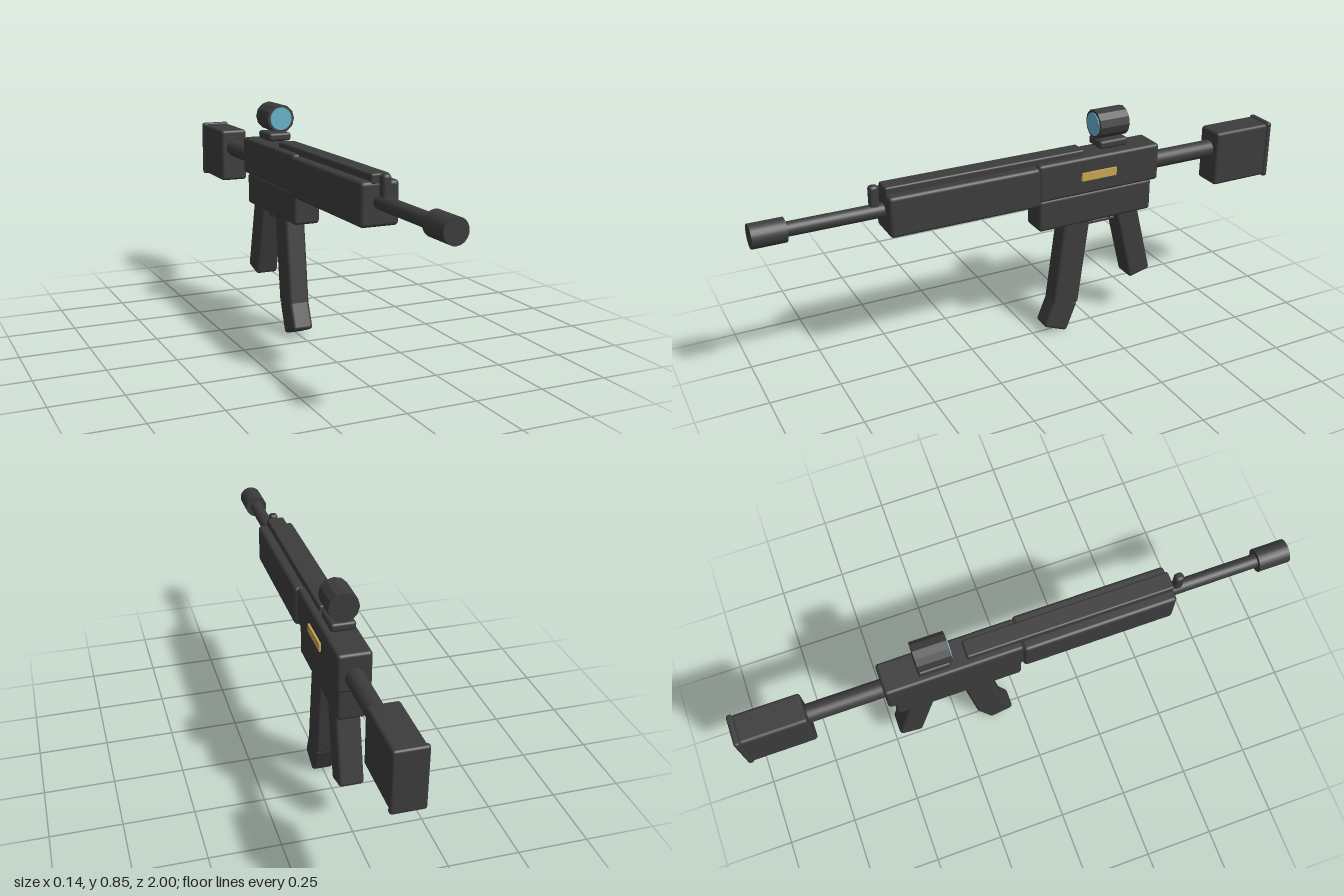
import * as THREE from 'three';
import { RoundedBoxGeometry } from 'three/addons/geometries/RoundedBoxGeometry.js';

function material(name, color) {
  const m = new THREE.MeshStandardMaterial({ color });
  m.name = name;
  return m;
}

export function createModel() {
  const model = new THREE.Group();
  model.name = 'toyRifle';
  const grey = material('darkGrey', 0x3c3c3c);
  const gold = material('gold', 0xc8a550);
  const glass = material('blueGlass', 0x66b2cc);

  function add(name, geometry, mat, x, y, z) {
    const mesh = new THREE.Mesh(geometry, mat);
    mesh.name = name;
    mesh.position.set(x, y, z);
    model.add(mesh);
    return mesh;
  }

  // Rounded block given by its width and its y and z ranges
  function block(name, width, y0, y1, z0, z1, radius = 0.012) {
    const g = new RoundedBoxGeometry(width, y1 - y0, z1 - z0, 3, radius);
    return add(name, g, grey, 0, (y0 + y1) / 2, (z0 + z1) / 2);
  }

  // Rounded block leaning in the side plane, angle in degrees
  function leaning(name, width, height, depth, y, z, angle) {
    const g = new RoundedBoxGeometry(width, height, depth, 3, 0.012);
    add(name, g, grey, 0, y, z).rotation.x = THREE.MathUtils.degToRad(angle);
  }

  // Round bar along z, optionally faceted
  function bar(name, radius, y, z0, z1, sides = 24, mat = grey, faceted = false) {
    let g = new THREE.CylinderGeometry(radius, radius, z1 - z0, sides).rotateX(Math.PI / 2);
    if (faceted) {
      g = g.toNonIndexed();
      g.computeVertexNormals();
    }
    return add(name, g, mat, 0, y, (z0 + z1) / 2);
  }

  // Barrel and front end
  bar('muzzle', 0.042, 0.63, 0.885, 1);
  bar('barrel', 0.025, 0.63, 0.5, 0.89);
  block('frontSight', 0.032, 0.645, 0.724, 0.568, 0.602, 0.012);
  block('handguard', 0.136, 0.549, 0.695, 0, 0.555, 0.013);
  block('topRail', 0.066, 0.685, 0.72, -0.19, 0.555, 0.007);

  // Body
  block('receiver', 0.118, 0.56, 0.7, -0.487, 0.003);
  block('lowerReceiver', 0.1, 0.442, 0.562, -0.465, -0.003);
  add('sidePlate', new THREE.BoxGeometry(0.009, 0.03, 0.14), gold, 0.0615, 0.63, -0.235);

  // Magazine and grip
  leaning('magazine', 0.078, 0.37, 0.105, 0.298, -0.145, -7.5);
  leaning('magazineEnd', 0.078, 0.122, 0.1, 0.075, -0.102, -22);
  leaning('grip', 0.088, 0.315, 0.09, 0.327, -0.401, 13.8);

  // Trigger and its guard
  block('triggerGuard', 0.03, 0.414, 0.426, -0.335, -0.215, 0.004);
  for (const z of [-0.235, -0.31]) block('guardPost', 0.03, 0.418, 0.45, z - 0.006, z + 0.006, 0.004);
  block('trigger', 0.016, 0.422, 0.45, -0.285, -0.27, 0.004);

  // Stock
  bar('stockTube', 0.033, 0.615, -0.77, -0.47);
  block('stock', 0.108, 0.48, 0.69, -0.985, -0.75);
  block('buttPlate', 0.114, 0.475, 0.695, -1, -0.978, 0.009);

  // Scope
  block('scopeMount', 0.087, 0.711, 0.742, -0.362, -0.248, 0.01);
  bar('scope', 0.053, 0.796, -0.36, -0.243, 12, grey, true);
  bar('lens', 0.042, 0.796, -0.246, -0.24, 24, glass);

  return model;
}
